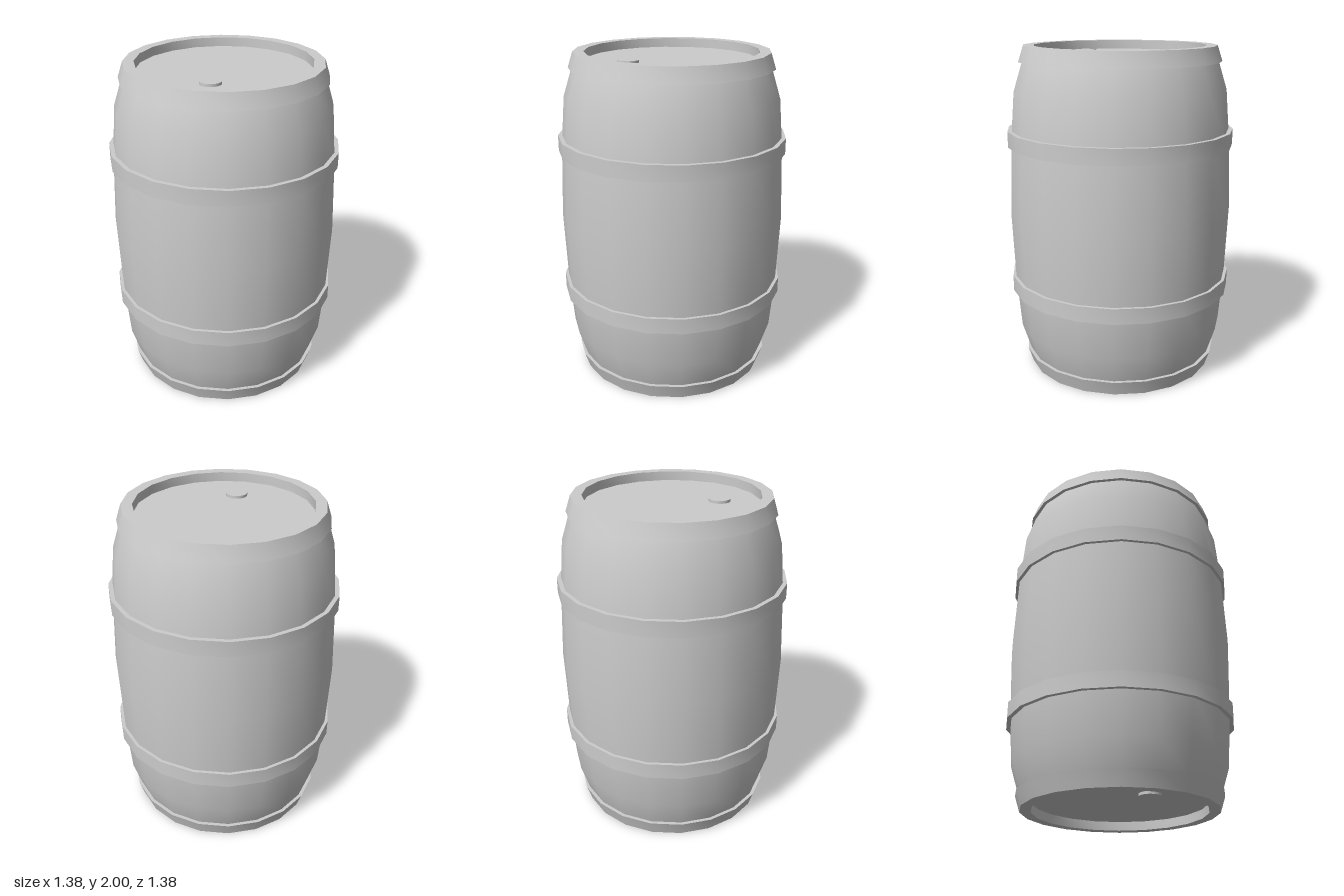
import * as THREE from 'three';
import { toCreasedNormals } from 'three/addons/utils/BufferGeometryUtils.js';

const SIDES = 20;
const material = new THREE.MeshStandardMaterial({ color: 0xcccccc });

function addMesh(parent, name, geometry, y = 0, z = 0) {
  const mesh = new THREE.Mesh(geometry, material);
  mesh.name = name;
  mesh.position.set(0, y, z);
  parent.add(mesh);
  return mesh;
}

// Turned part from [radius, height] pairs, smooth around and sharp at corners
function turned(profile) {
  const points = profile.map(([r, y]) => new THREE.Vector2(r, y));
  return toCreasedNormals(new THREE.LatheGeometry(points, SIDES), Math.PI / 6);
}

export function createModel() {
  const barrel = new THREE.Group();
  barrel.name = 'barrel';

  // Bulging staves, mirrored about mid height
  const lower = [[0.56, 0.01], [0.59, 0.095], [0.642, 0.26], [0.667, 0.55]];
  const upper = lower.map(([r, y]) => [r, 2 - y]).reverse();
  addMesh(barrel, 'staves', turned([...lower, [0.685, 1], ...upper]));

  // Flat hoops around the belly
  for (const [name, y] of [['lowerHoop', 0.5], ['upperHoop', 1.41]]) {
    addMesh(barrel, name, turned([
      [0.64, y], [0.688, y], [0.688, y + 0.095], [0.64, y + 0.095],
    ]));
  }

  // Each end: flared rim hoop, recessed head and bung
  for (const top of [false, true]) {
    const prefix = top ? 'top' : 'bottom';
    const at = (y) => (top ? 2 - y : y);
    const rim = [[0.515, 0.07], [0.515, 0], [0.58, 0], [0.61, 0.092], [0.57, 0.092]]
      .map(([r, y]) => [r, at(y)]);
    addMesh(barrel, prefix + 'Rim', turned(top ? rim.reverse() : rim));
    addMesh(barrel, prefix + 'Head', new THREE.CylinderGeometry(0.53, 0.53, 0.03, SIDES), at(0.07));
    addMesh(barrel, prefix + 'Bung', new THREE.CylinderGeometry(0.063, 0.063, 0.03, 24), at(0.054), 0.275);
  }

  return barrel;
}
